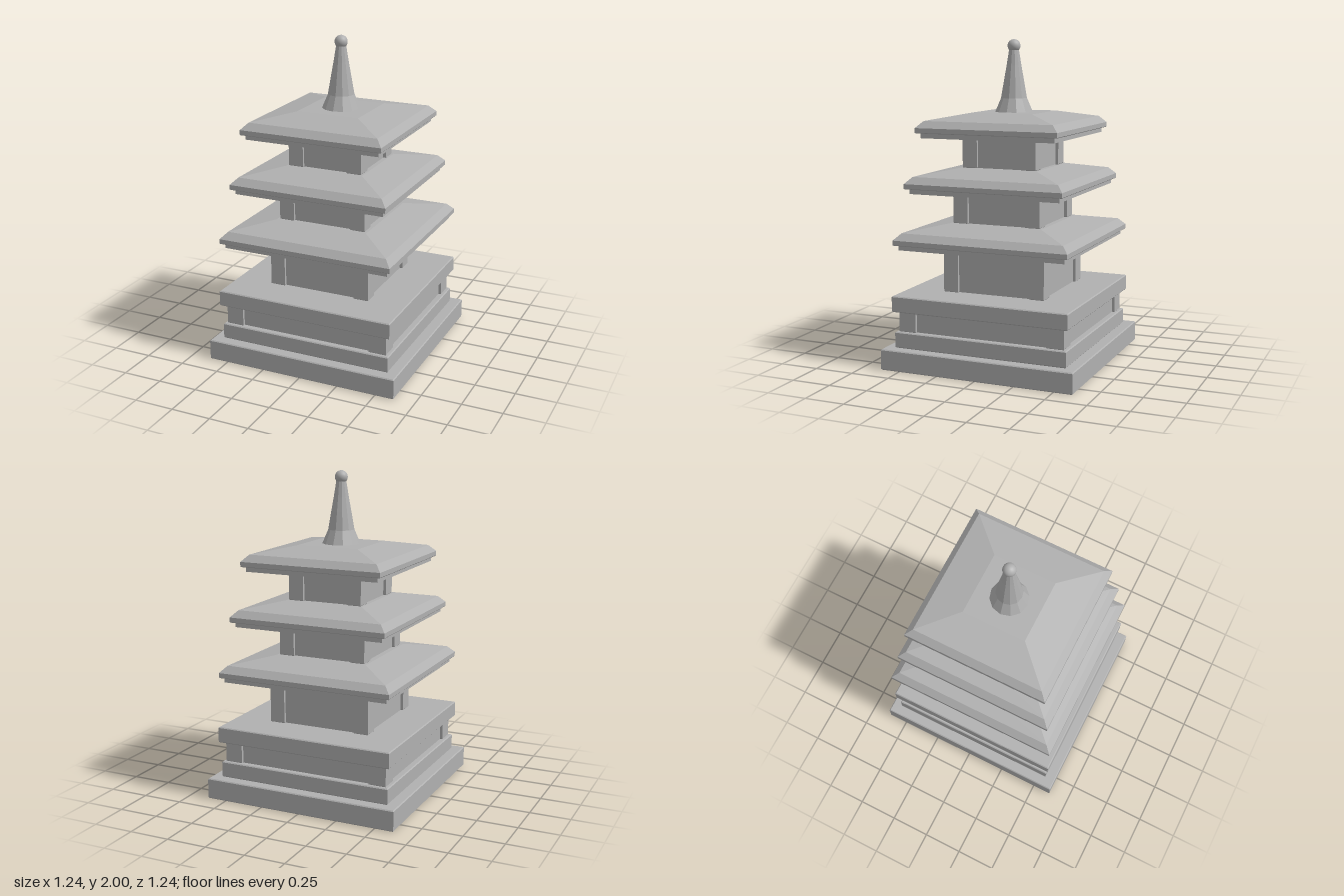
import * as THREE from 'three';

const stone = new THREE.MeshStandardMaterial({ color: 0xb0b0b0 });
stone.name = 'grey stone';

// Flat-faced lathe: profile is [radius, y] from bottom to top, closed at both ends
function turned(name, profile, sides, start = 0) {
  const pts = [[0, profile[0][1]], ...profile, [0, profile[profile.length - 1][1]]]
    .map(([r, y]) => new THREE.Vector2(r, y));
  const geo = new THREE.LatheGeometry(pts, sides, start).toNonIndexed();
  geo.computeVertexNormals();
  const mesh = new THREE.Mesh(geo, stone);
  mesh.name = name;
  return mesh;
}

// Square version: profile is [half width, y]
const square = (name, profile) =>
  turned(name, profile.map(([h, y]) => [h * Math.SQRT2, y]), 4, Math.PI / 4);

// Square block with small chamfers on its top and bottom edges
const slab = (name, half, y0, y1, c = 0.006) =>
  square(name, [[half - c, y0], [half, y0 + c], [half, y1 - c], [half - c, y1]]);

// Recessed core with a post at each corner
function storey(name, half, y0, y1, post, recess = 0.018) {
  const group = new THREE.Group();
  group.name = name;
  group.add(square('wallCore', [[half - recess, y0], [half - recess, y1]]));
  for (const sx of [-1, 1]) for (const sz of [-1, 1]) {
    const p = slab('cornerPost', post / 2, y0, y1, 0.003);
    p.position.set(sx * (half - post / 2), 0, sz * (half - post / 2));
    group.add(p);
  }
  return group;
}

// Hipped roof: under-eave step, vertical eave, steep edge, shallow slope
function roof(name, y, eave, top, height) {
  const group = new THREE.Group();
  group.name = name;
  group.add(square('underEave', [[eave - 0.025, y], [eave - 0.025, y + 0.03]]));
  group.add(square('roofShell', [
    [eave - 0.004, y + 0.03], [eave, y + 0.034], [eave, y + 0.062],
    [eave - 0.04, y + 0.103], [top, y + height],
  ]));
  return group;
}

export function createModel() {
  const model = new THREE.Group();
  model.name = 'stonePagoda';

  // Stepped base
  model.add(slab('groundSlab', 0.62, 0, 0.13));
  model.add(slab('plinth', 0.555, 0.13, 0.23));
  model.add(storey('baseStorey', 0.535, 0.23, 0.355, 0.11));
  model.add(slab('baseCap', 0.568, 0.355, 0.455));

  // Three storeys with roofs
  const tiers = [
    { half: 0.33, y0: 0.455, y1: 0.735, eave: 0.56, top: 0.3 },
    { half: 0.284, y0: 0.88, y1: 1.075, eave: 0.507, top: 0.25 },
    { half: 0.24, y0: 1.22, y1: 1.41, eave: 0.455, top: 0.2 },
  ];
  tiers.forEach((t, i) => {
    model.add(storey('storey' + (i + 1), t.half, t.y0, t.y1, 0.095));
    model.add(roof('roof' + (i + 1), t.y1, t.eave, t.top, 0.145));
  });

  // Finial
  model.add(turned('spire', [
    [0.117, 1.555], [0.081, 1.64], [0.062, 1.75], [0.046, 1.84], [0.03, 1.94],
  ], 12));
  const ball = new THREE.Mesh(new THREE.SphereGeometry(0.04, 20, 14), stone);
  ball.name = 'finialBall';
  ball.position.y = 1.96;
  model.add(ball);

  return model;
}
